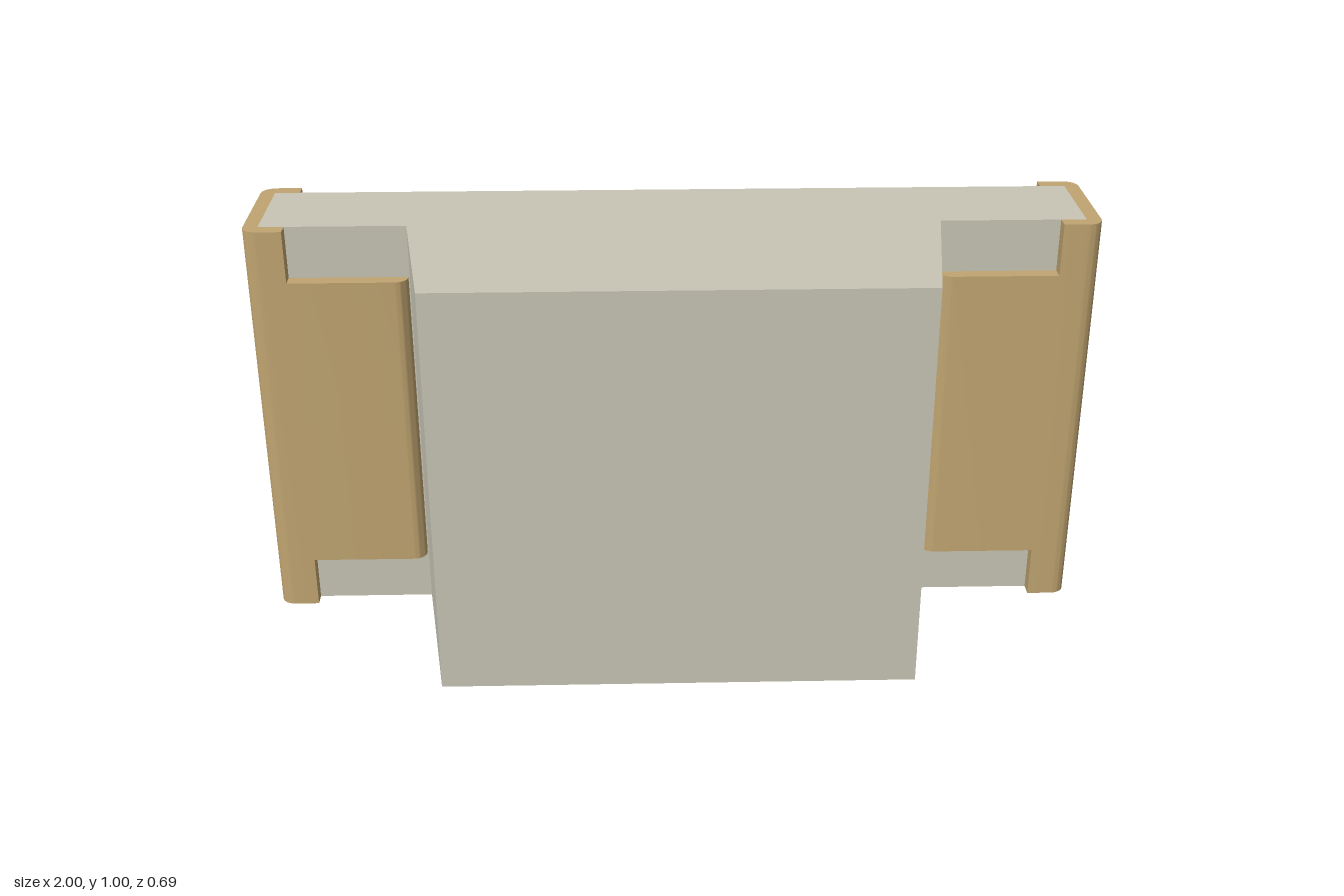
import * as THREE from 'three';
import { toCreasedNormals } from 'three/addons/utils/BufferGeometryUtils.js';

const SLAB_BACK = -0.31, SLAB_FRONT = -0.07, WRAP = 0.035;
const WRAP_BACK = SLAB_BACK - WRAP, WRAP_FRONT = SLAB_FRONT + WRAP;

// Upright prism: plan outline as [x, z] points, from y0 to y1.
// A third value on a point rounds that corner.
function prism(points, y0, y1) {
  const outline = [];
  points.forEach(([x, z, r], i) => {
    const p = new THREE.Vector2(x, -z);
    if (!r) return outline.push(p);
    const toward = (q) => new THREE.Vector2(q[0], -q[1]).sub(p).normalize().multiplyScalar(r);
    const a = toward(points[(i + points.length - 1) % points.length]);
    const b = toward(points[(i + 1) % points.length]);
    const centre = p.clone().add(a).add(b);
    for (let k = 0; k <= 8; k++) {
      const t = (k / 8) * Math.PI / 2;
      outline.push(centre.clone().addScaledVector(b, -Math.cos(t)).addScaledVector(a, -Math.sin(t)));
    }
  });
  const geo = new THREE.ExtrudeGeometry(new THREE.Shape(outline), { depth: y1 - y0, bevelEnabled: false });
  geo.rotateX(-Math.PI / 2);
  geo.translate(0, y0, 0);
  return toCreasedNormals(geo, 0.6);
}

export function createModel() {
  const ceramic = new THREE.MeshStandardMaterial({ color: 0xc8c5b5 });
  ceramic.name = 'ceramic grey';
  const metal = new THREE.MeshStandardMaterial({ color: 0xc1a571 });
  metal.name = 'terminal tan';
  const green = new THREE.MeshStandardMaterial({ color: 0x52a06d });
  green.name = 'marker green';

  const model = new THREE.Group();
  const add = (parent, name, geo, mat) => {
    const mesh = new THREE.Mesh(geo, mat);
    mesh.name = name;
    parent.add(mesh);
  };

  // Slab with a tapered block on its front
  add(model, 'body', prism([
    [-0.965, SLAB_BACK], [0.965, SLAB_BACK], [0.965, SLAB_FRONT], [0.622, SLAB_FRONT],
    [0.56, 0.345], [-0.56, 0.345], [-0.622, SLAB_FRONT], [-0.965, SLAB_FRONT],
  ], 0, 1), ceramic);

  // Wrapped end terminals
  for (const s of [1, -1]) {
    const terminal = new THREE.Group();
    terminal.name = s > 0 ? 'leftTerminal' : 'rightTerminal';
    model.add(terminal);

    // Full-height channel around the slab end
    add(terminal, 'endChannel', prism([
      [s * 0.905, WRAP_BACK], [s, WRAP_BACK, WRAP], [s, WRAP_FRONT, WRAP], [s * 0.905, WRAP_FRONT],
      [s * 0.905, SLAB_FRONT], [s * 0.965, SLAB_FRONT], [s * 0.965, SLAB_BACK], [s * 0.905, SLAB_BACK],
    ], 0, 1), metal);

    // Shorter tabs on both faces, rounded at the inner edge
    for (const [name, inner, outer] of [
      ['backTab', SLAB_BACK, WRAP_BACK], ['frontTab', SLAB_FRONT, WRAP_FRONT],
    ]) {
      add(terminal, name, prism([
        [s * 0.905, inner], [s * 0.905, outer], [s * 0.625, outer, 0.03], [s * 0.625, inner],
      ], 0.127, 0.873), metal);
    }
  }

  // Raised triangular marker on the back
  add(model, 'triangleMarker', new THREE.ExtrudeGeometry(new THREE.Shape([
    new THREE.Vector2(0.346, 0.1), new THREE.Vector2(0.346, 0.9), new THREE.Vector2(-0.346, 0.5),
  ]), { depth: 0.018, bevelEnabled: false }).translate(0, 0, SLAB_BACK - 0.018), green);

  return model;
}
